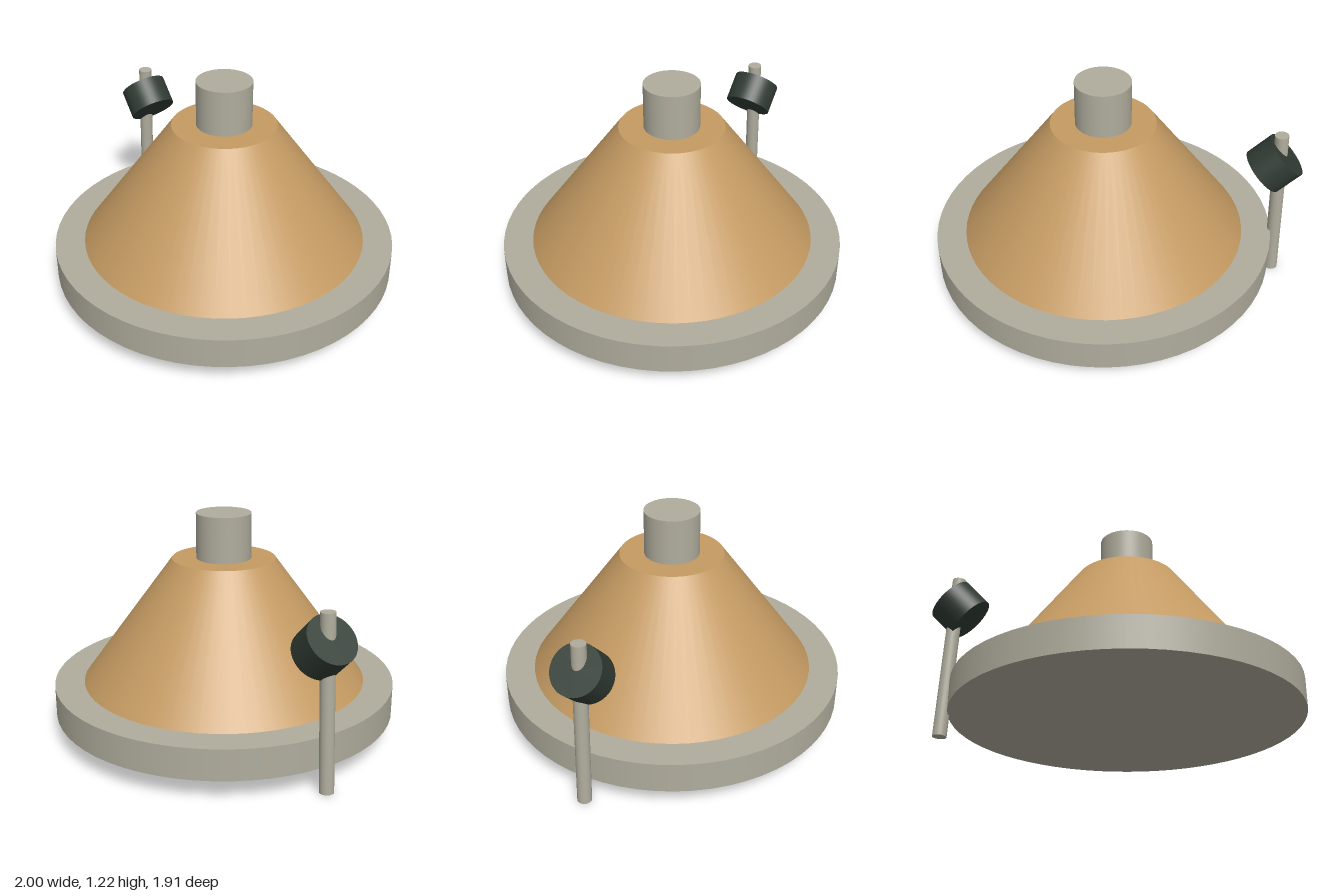
import * as THREE from 'three';

export function createModel() {
  const model = new THREE.Group();
  const grey = new THREE.MeshStandardMaterial({ color: 0xb0ad9d });
  grey.name = 'warm grey';
  const tan = new THREE.MeshStandardMaterial({ color: 0xc49a62 });
  tan.name = 'tan';
  const dark = new THREE.MeshStandardMaterial({ color: 0x303b33 });
  dark.name = 'dark green';

  // Round part between two points, with a radius at each end
  function addRound(name, material, from, to, rFrom, rTo, sides) {
    const a = new THREE.Vector3(...from);
    const b = new THREE.Vector3(...to);
    const axis = b.clone().sub(a);
    const mesh = new THREE.Mesh(
      new THREE.CylinderGeometry(rTo, rFrom, axis.length(), sides), material);
    mesh.name = name;
    mesh.position.copy(a).add(b).multiplyScalar(0.5);
    mesh.quaternion.setFromUnitVectors(new THREE.Vector3(0, 1, 0), axis.normalize());
    model.add(mesh);
  }

  // Body: base disc, tapered cone and top post share one axis
  const cx = 0.045;
  addRound('baseDisc', grey, [cx, 0.12, 0], [cx, 0.29, 0], 0.953, 0.953, 64);
  addRound('cone', tan, [cx, 0.29, 0], [cx, 0.975, 0], 0.79, 0.285, 64);
  addRound('topPost', grey, [cx, 0.975, 0], [cx, 1.225, 0], 0.151, 0.151, 48);

  // Slightly leaning rod at the rim
  addRound('sideRod', grey, [-0.902, 0.002, -0.278], [-0.867, 0.93, -0.271], 0.038, 0.038, 24);

  // Tilted knob threaded on the rod
  const centre = new THREE.Vector3(-0.847, 0.748, -0.266);
  const half = new THREE.Vector3(0.69, -0.7, 0.18).normalize().multiplyScalar(0.083);
  addRound('knob', dark, centre.clone().add(half).toArray(),
    centre.clone().sub(half).toArray(), 0.135, 0.135, 40);

  return model;
}
